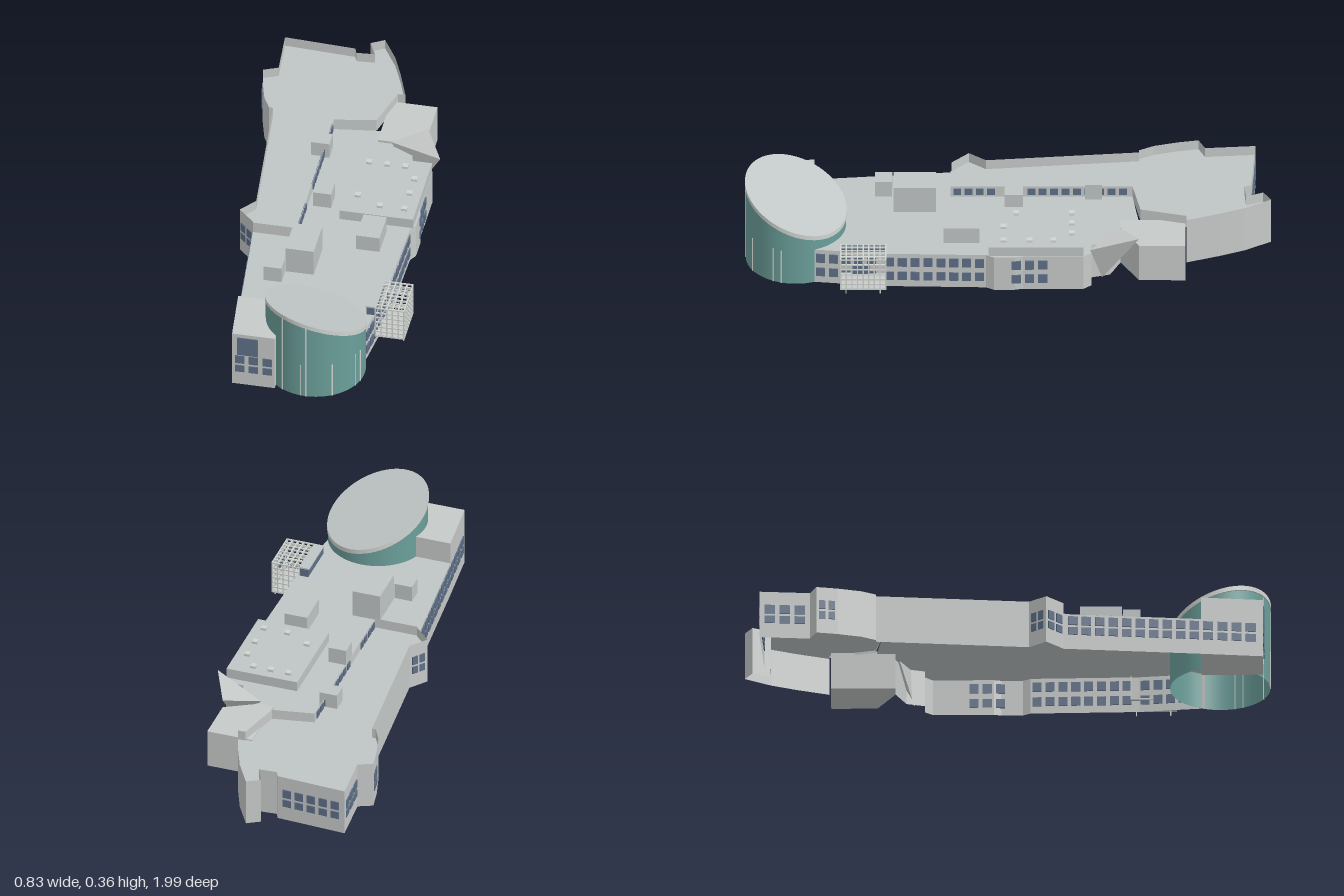
import * as THREE from 'three';

const mat = (name, color) => {
  const m = new THREE.MeshStandardMaterial({ color, side: THREE.DoubleSide });
  m.name = name;
  return m;
};

export function createModel() {
  const model = new THREE.Group();
  const wallMat = mat('wall grey', 0xc6cac8);
  const roofMat = mat('roof grey', 0xbfc5c5);
  const glassMat = mat('window blue', 0x5f7088);
  const tealMat = mat('drum teal', 0x6b9f9a);
  const trimMat = mat('pale trim', 0xd0d4d0);

  const add = (name, geo, m, parent = model) => {
    const mesh = new THREE.Mesh(geo, m);
    mesh.name = name;
    parent.add(mesh);
    return mesh;
  };
  // Box given by its limits on each axis
  const box = (name, x0, x1, y0, y1, z0, z1, m, parent) => {
    const mesh = add(name, new THREE.BoxGeometry(x1 - x0, y1 - y0, z1 - z0), m, parent);
    mesh.position.set((x0 + x1) / 2, (y0 + y1) / 2, (z0 + z1) / 2);
    return mesh;
  };
  const planShape = pts => new THREE.Shape(pts.map(([x, z]) => new THREE.Vector2(x, -z)));
  const slab = (name, pts, y, m) =>
    add(name, new THREE.ShapeGeometry(planShape(pts)).rotateX(-Math.PI / 2).translate(0, y, 0), m);
  const prism = (name, pts, y0, y1, m) =>
    add(name, new THREE.ExtrudeGeometry(planShape(pts), { depth: y1 - y0, bevelEnabled: false })
      .rotateX(-Math.PI / 2).translate(0, y0, 0), m);
  // Vertical sheet following a plan polyline
  const wall = (name, pts, y0, y1) => {
    const pos = [];
    for (let i = 0; i + 1 < pts.length; i++) {
      const [a, b] = pts[i], [c, d] = pts[i + 1];
      pos.push(a, y0, b, c, y0, d, c, y1, d, a, y0, b, c, y1, d, a, y1, b);
    }
    const g = new THREE.BufferGeometry();
    g.setAttribute('position', new THREE.Float32BufferAttribute(pos, 3));
    g.computeVertexNormals();
    return add(name, g, wallMat);
  };
  // Evenly spaced thin panes between two plan points, in the given [bottom, top] rows
  const windows = (name, p, q, n, rows, fill = 0.7) => {
    const group = new THREE.Group();
    group.name = name;
    model.add(group);
    const dx = q[0] - p[0], dz = q[1] - p[1], w = Math.hypot(dx, dz) / n * fill;
    for (const [y0, y1] of rows) for (let i = 0; i < n; i++) {
      const t = (i + 0.5) / n;
      const pane = add('pane', new THREE.BoxGeometry(w, y1 - y0, 0.008), glassMat, group);
      pane.position.set(p[0] + dx * t, (y0 + y1) / 2, p[1] + dz * t);
      pane.rotation.y = -Math.atan2(dz, dx);
    }
  };

  // Tall outer wall around the rear and along the right wing
  const rearWall = [[-0.26, 0.21], [-0.325, 0.145], [-0.275, 0.08], [-0.33, -0.5], [-0.345, -0.5],
    [-0.375, -0.555], [-0.4, -0.645], [-0.415, -0.725], [-0.36, -0.75], [-0.375, -0.94], [-0.1, -0.925],
    [-0.09, -0.9], [-0.02, -0.905], [-0.05, -0.97], [0, -1], [0.06, -0.9], [0.1, -0.805], [0.145, -0.68]];
  const innerLine = [[0.115, -0.68], [0.07, -0.505], [-0.09, -0.475], [-0.09, 0.215], [-0.26, 0.215]];
  wall('rearOuterWall', rearWall, 0, 0.19);
  wall('clerestoryWall', [[0.145, -0.68], ...innerLine], 0.14, 0.19);
  slab('rearRoof', [...rearWall, ...innerLine], 0.15, roofMat);

  // Main block
  const leftSide = [[0.28, 0.74], [0.31, 0.49], [0.32, 0.08], [0.337, 0.05], [0.337, -0.03],
    [0.33, -0.06], [0.33, -0.29], [0.305, -0.32], [0.25, -0.32], [0.23, -0.39], [0.145, -0.43]];
  wall('mainLeftWall', leftSide, 0, 0.145);
  wall('mainRightWall', [[-0.26, 0.21], [-0.21, 0.73]], 0, 0.145);
  slab('mainRoof', [[-0.26, 0.215], [-0.21, 0.73], ...leftSide, [0.09, -0.5], [-0.09, -0.475], [-0.09, 0.215]],
    0.145, roofMat);

  // Front corner tower
  prism('frontTower', [[-0.21, 0.73], [-0.185, 0.965], [-0.02, 0.965], [-0.02, 0.73]], 0, 0.235, wallMat);
  box('towerWindow', -0.165, -0.085, 0.14, 0.22, 0.961, 0.969, glassMat);

  // Window bands
  const rows = [[0.06, 0.09], [0.1, 0.135]];
  const lowRows = [[0.03, 0.066], [0.09, 0.128]];
  windows('frontWindows', [-0.182, 0.965], [-0.022, 0.965], 3, rows, 0.66);
  windows('rightTowerWindows', [-0.187, 0.945], [-0.21, 0.73], 4, rows);
  windows('rightWindows', [-0.21, 0.73], [-0.26, 0.22], 10, rows);
  windows('bayFrontWindows', [-0.262, 0.208], [-0.322, 0.148], 2, rows);
  windows('bayBackWindows', [-0.32, 0.139], [-0.28, 0.086], 2, rows);
  windows('rearWindows', [-0.36, -0.939], [-0.115, -0.926], 5, rows);
  windows('rearSideWindows', [-0.374, -0.93], [-0.361, -0.76], 3, rows);
  windows('rearBayWindows', [-0.402, -0.65], [-0.414, -0.72], 2, rows);
  windows('leftFrontWindows', [0.282, 0.73], [0.31, 0.49], 5, lowRows);
  windows('leftWindows', [0.31, 0.47], [0.32, 0.06 + 0.02], 8, lowRows);
  windows('leftRearWindows', [0.335, -0.01], [0.331, -0.16], 3, lowRows);
  windows('clerestoryFrontWindows', [-0.09, 0.21], [-0.09, 0.04], 4, [[0.155, 0.182]]);
  windows('clerestoryRearWindows', [-0.09, -0.07], [-0.09, -0.46], 9, [[0.155, 0.182]]);

  // Rooftop plant boxes: x0, x1, top, z0, z1
  for (const [x0, x1, top, z0, z1] of [
    [-0.14, -0.07, 0.21, -0.36, -0.295], [-0.07, 0, 0.21, -0.06, 0.01], [0.145, 0.235, 0.21, 0.105, 0.24],
    [-0.09, 0.02, 0.255, 0.27, 0.43], [-0.16, -0.09, 0.21, 0.435, 0.5],
  ]) box('roofBox', x0, x1, 0.146, top, z0, z1, roofMat);

  // Raised roof slab with small skylights
  box('raisedRoof', 0.045, 0.329, 0.146, 0.186, -0.29, 0.07, roofMat);
  for (const [x, z] of [[0.095, -0.245], [0.165, -0.245], [0.235, -0.245], [0.285, -0.175],
    [0.285, -0.085], [0.285, 0.013], [0.19, 0.013], [0.095, -0.035]])
    box('skylight', x - 0.011, x + 0.011, 0.186, 0.196, z - 0.011, z + 0.011, trimMat);

  // Rear entrance block and folded canopy
  prism('entranceBlock', [[0.09, -0.43], [0.145, -0.43], [0.27, -0.5], [0.27, -0.675], [0.09, -0.675]], 0, 0.155, wallMat);
  const A = [0.355, 0.19, -0.315], B = [0.27, 0.185, -0.5], C = [0.145, 0.16, -0.42], D = [0.25, 0, -0.36];
  const canopy = new THREE.BufferGeometry();
  canopy.setAttribute('position', new THREE.Float32BufferAttribute(
    [A, B, C, A, D, B, B, D, C, C, D, A].flat(), 3));
  canopy.computeVertexNormals();
  add('foldedCanopy', canopy, wallMat);

  // Round drum cut by a sloping plane
  const drum = new THREE.Group();
  drum.name = 'drum';
  drum.position.set(0.105, 0, 0.8);
  model.add(drum);
  const R = 0.19;
  const topY = (x, z) => 0.277 - 0.26 * x + 0.33 * z;
  const ring = (name, r, low, high, m) => {
    const g = new THREE.CylinderGeometry(r, r, 1, 64, 1, true);
    const p = g.attributes.position;
    for (let i = 0; i < p.count; i++)
      p.setY(i, (p.getY(i) > 0 ? high : low)(p.getX(i), p.getZ(i)));
    add(name, g, m, drum);
  };
  ring('drumWall', R, () => 0, (x, z) => topY(x, z) - 0.018, tealMat);
  ring('drumRim', R + 0.003, (x, z) => topY(x, z) - 0.018, topY, trimMat);
  const cap = new THREE.CircleGeometry(R + 0.003, 64).rotateX(-Math.PI / 2);
  const cp = cap.attributes.position;
  for (let i = 0; i < cp.count; i++) cp.setY(i, topY(cp.getX(i), cp.getZ(i)));
  cap.computeVertexNormals();
  add('drumRoof', cap, roofMat, drum);
  // Pale vertical strips: x offset, height (0 = up to the rim)
  for (const [x, h] of [[-0.095, 0], [0, 0], [-0.02, 0.145], [0.097, 0.145], [0.17, 0.145], [0.182, 0.145]]) {
    const z = Math.sqrt(R * R - x * x), top = h || topY(x, z) - 0.02;
    const strip = add('drumStrip', new THREE.BoxGeometry(0.005, top, 0.004), trimMat, drum);
    strip.position.set(x, top / 2, z);
    strip.rotation.y = Math.atan2(x, z);
  }

  // Lattice balcony cage
  const cage = new THREE.Group();
  cage.name = 'latticeCage';
  model.add(cage);
  const x0 = 0.3, x1 = 0.41, y0 = 0.05, y1 = 0.18, z0 = 0.46, z1 = 0.63, t = 0.0025;
  const bar = (a, b, c, d, e, f) => box('bar', a - t, b + t, c - t, d + t, e - t, f + t, trimMat, cage);
  const steps = (a, b, n) => Array.from({ length: n + 1 }, (_, i) => a + (b - a) * i / n);
  for (const x of steps(x0, x1, 5)) {
    for (const z of [z0, z1]) bar(x, x, y0, y1, z, z);
    bar(x, x, y1, y1, z0, z1);
  }
  for (const y of steps(y0, y1, 6)) {
    for (const z of [z0, z1]) bar(x0, x1, y, y, z, z);
    bar(x1, x1, y, y, z0, z1);
  }
  for (const z of steps(z0, z1, 8)) {
    bar(x1, x1, y0, y1, z, z);
    bar(x0, x1, y1, y1, z, z);
  }
  box('cageFloor', x0, x1, y0 - 0.003, y0 + 0.004, z0, z1, wallMat, cage);
  for (const z of [z0 + 0.02, z1 - 0.02]) bar(x1 - 0.005, x1 - 0.005, 0.03, y0, z, z);
  box('cagePanel', x1 - 0.006, x1 - 0.001, 0.11, 0.16, 0.52, 0.59, glassMat, cage);
  box('cageLintel', 0.265, 0.3, 0.146, 0.178, z0, z1, glassMat, cage);
  box('cageLintelTop', 0.262, 0.302, 0.178, 0.184, z0, z1, roofMat, cage);

  return model;
}
